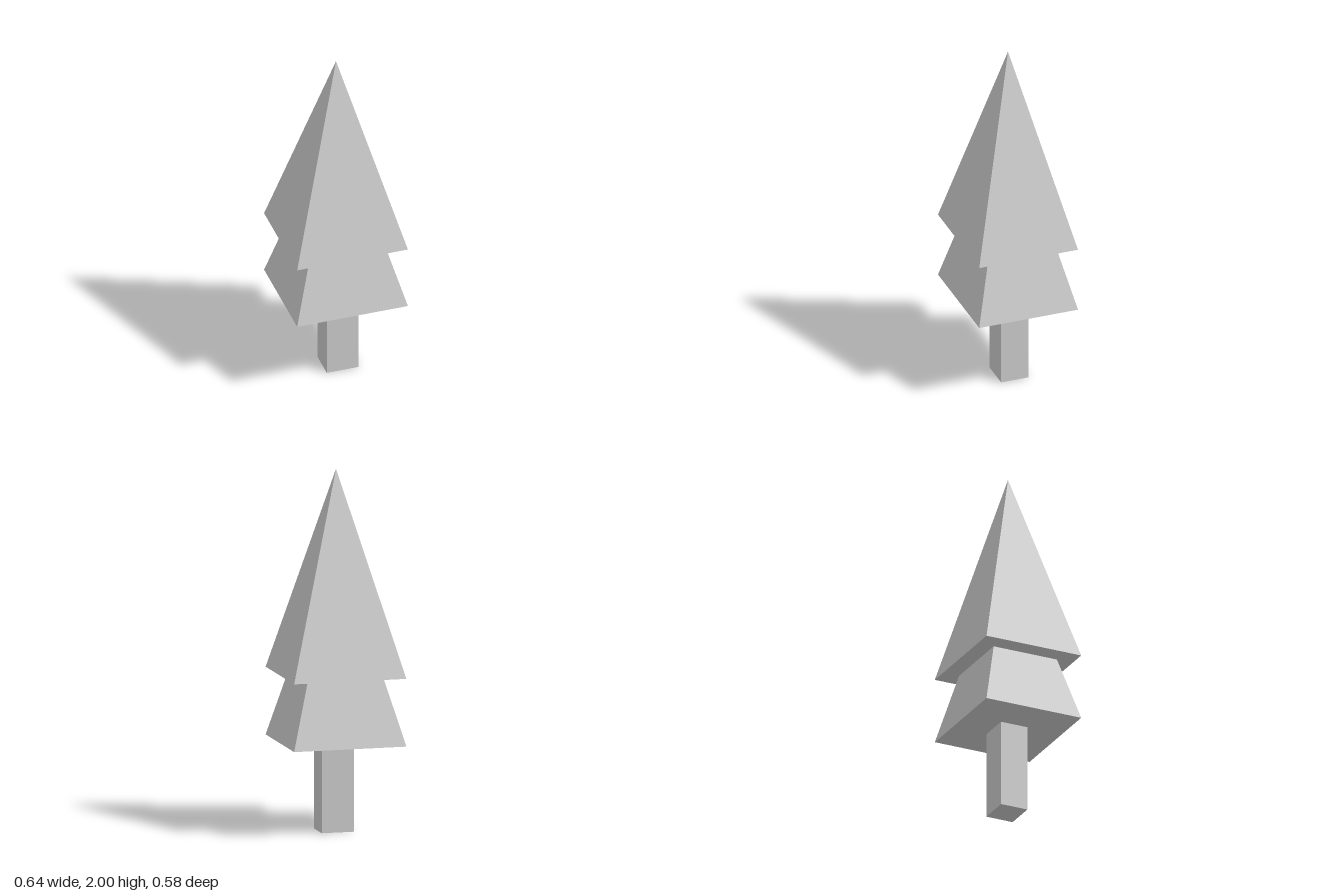
import * as THREE from 'three';

const material = new THREE.MeshStandardMaterial({ color: 0xcccccc, flatShading: true });

// Four-sided pyramid with a rectangular base at height y
function pyramid(name, width, height, depth, y) {
  const geometry = new THREE.ConeGeometry(Math.SQRT1_2, 1, 4);
  geometry.rotateY(Math.PI / 4);
  geometry.scale(width, height, depth);
  geometry.translate(0, y + height / 2, 0);
  const mesh = new THREE.Mesh(geometry, material);
  mesh.name = name;
  return mesh;
}

export function createModel() {
  const tree = new THREE.Group();
  tree.name = 'tree';

  // Trunk, slightly off-centre
  const trunk = new THREE.Mesh(new THREE.BoxGeometry(0.182, 0.495, 0.16), material);
  trunk.name = 'trunk';
  trunk.position.set(0.012, 0.2475, -0.001);
  tree.add(trunk);

  // Two equal foliage tiers, the upper one overlapping the lower
  tree.add(pyramid('lowerFoliage', 0.636, 1.13, 0.576, 0.495));
  tree.add(pyramid('upperFoliage', 0.636, 1.13, 0.576, 0.87));

  return tree;
}
